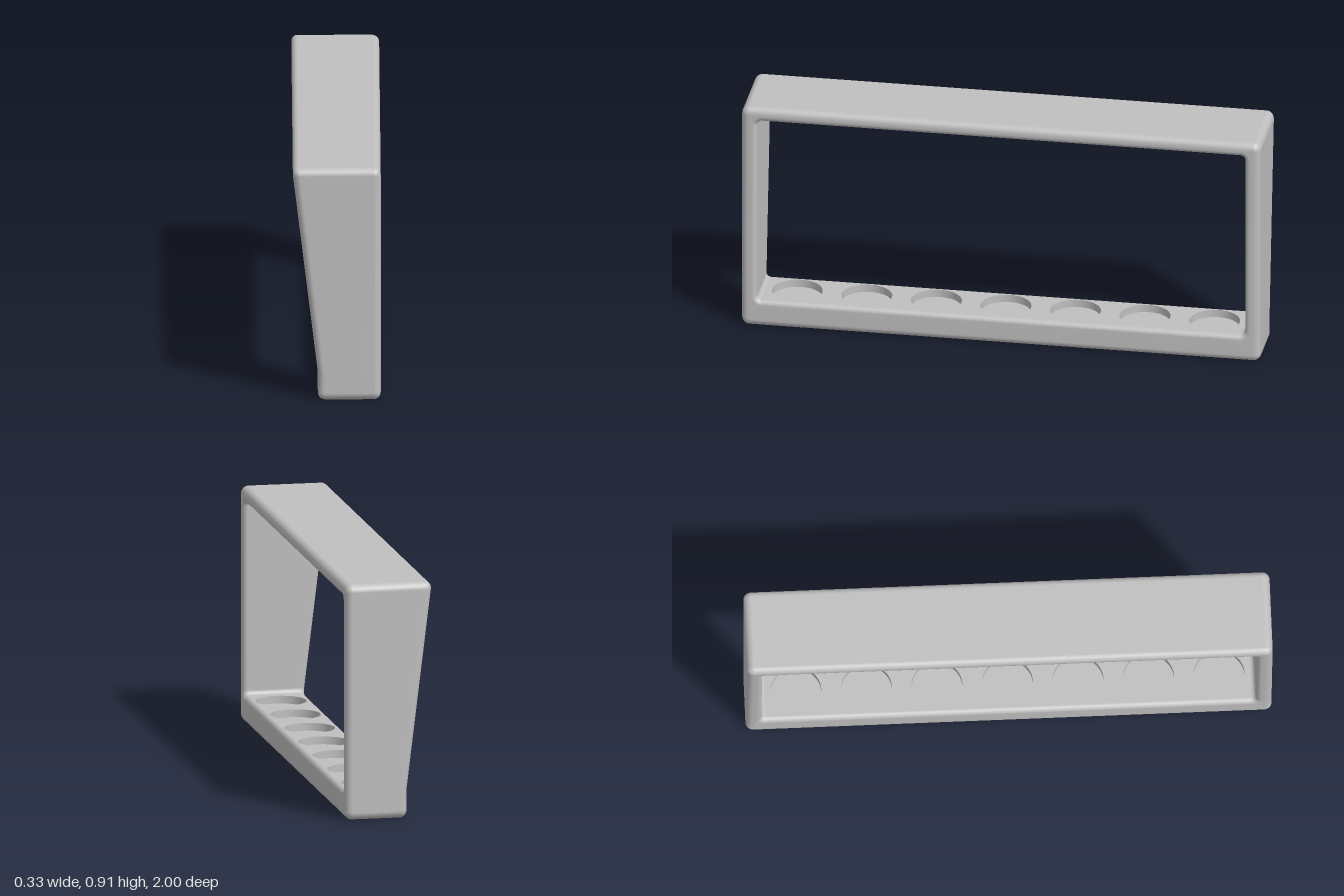
import * as THREE from 'three';

const RIGHT = 0.167, TOP = 0.911;          // straight side and full height
const FLOOR = 0.107;                       // top of the bottom bar
const OUT_R = 0.027, IN_R = 0.02;          // outer and inner edge rounding
const CORNER = 0.018;                      // corner radius of the opening
const STEPS = 6, N = STEPS + 1;
const LEFT_X = -0.072;

// x of the slanted side: upright along the bottom bar, then leaning out
const leftX = (y) => LEFT_X - Math.max(0, y - FLOOR) * 0.1222;

// rounded rectangle in the z-y plane, with one extra point per post at the bend
function rectLoop(halfZ, y0, y1, r) {
  const pts = [];
  const corners = [[1, 1], [-1, 1], [-1, -1], [1, -1]];
  const bendY = Math.max(FLOOR, y0 + r + 0.001);
  corners.forEach(([sz, sy], c) => {
    if (c === 2) pts.push([-halfZ, bendY]);
    for (let k = 0; k <= STEPS; k++) {
      const a = (c + k / STEPS) * Math.PI / 2;
      pts.push([sz * (halfZ - r) + r * Math.cos(a), (sy > 0 ? y1 - r : y0 + r) + r * Math.sin(a)]);
    }
  });
  pts.push([halfZ, bendY]);
  return pts;
}
const outerLoop = (d) => rectLoop(1 - d, d, TOP - d, 0.03 - d);
const innerLoop = (e) => rectLoop(0.94 + e, FLOOR - e, 0.857 + e, CORNER + e);

// rounded frame, swept from the outer wall over the edges into the opening
function frameGeometry() {
  const loops = [];
  const onRight = (pts, depth) => loops.push(pts.map(([z, y]) => [RIGHT - depth, y, z]));
  const onLeft = (pts, depth) => loops.push(pts.map(([z, y]) => [leftX(y) + depth, y, z]));
  const arc = (fn) => {
    for (let k = 0; k <= STEPS; k++) {
      const a = k / STEPS * Math.PI / 2;
      fn(1 - Math.sin(a), 1 - Math.cos(a));
    }
  };
  arc((u, v) => onRight(outerLoop(OUT_R * v), OUT_R * u));
  arc((u, v) => onRight(innerLoop(IN_R * u), IN_R * v));
  const floorRow = loops.length - 1;
  arc((u, v) => onLeft(innerLoop(IN_R * v), IN_R * u));
  arc((u, v) => onLeft(outerLoop(OUT_R * u), OUT_R * v));

  const count = loops[0].length, index = [], open = [];
  loops.forEach((_, i) => {
    for (let j = 0; j < count; j++) {
      const i2 = (i + 1) % loops.length, j2 = (j + 1) % count;
      const a = i * count + j, b = i2 * count + j, c = i2 * count + j2, d = i * count + j2;
      const quad = [a, b, c, a, c, d];
      index.push(...quad);
      // the flat floor of the opening is left out for the pierced plate
      if (!(i === floorRow && j === 3 * N)) open.push(...quad);
    }
  });
  const geo = new THREE.BufferGeometry();
  geo.setAttribute('position', new THREE.Float32BufferAttribute(loops.flat(2), 3));
  geo.setIndex(index);
  geo.computeVertexNormals();
  geo.setIndex(open);
  return geo;
}

export function createModel() {
  const group = new THREE.Group();
  group.name = 'rackFrame';
  const grey = new THREE.MeshStandardMaterial({ color: 0xbfbfbf });
  grey.name = 'grey';
  const add = (name, geo) => {
    const mesh = new THREE.Mesh(geo, grey);
    mesh.name = name;
    group.add(mesh);
    return mesh;
  };

  add('frame', frameGeometry());

  // seven round wells along the bottom bar
  const wellX = (LEFT_X + RIGHT) / 2, wellR = 0.097, depth = 0.03;
  const wells = Array.from({ length: 7 }, (_, i) => (i - 3) * 0.268);

  // pierced top of the bottom bar
  const x0 = LEFT_X + IN_R, x1 = RIGHT - IN_R, z1 = 0.94 - CORNER;
  const plate = new THREE.Shape([[x0, -z1], [x1, -z1], [x1, z1], [x0, z1]].map((p) => new THREE.Vector2(...p)));
  for (const z of wells) plate.holes.push(new THREE.Path().absarc(wellX, -z, wellR, 0, Math.PI * 2, true));
  const plateGeo = new THREE.ShapeGeometry(plate, 24);
  plateGeo.rotateX(-Math.PI / 2);
  add('barTop', plateGeo).position.y = FLOOR;

  // well walls and floors
  const wall = new THREE.LatheGeometry([new THREE.Vector2(wellR, 0), new THREE.Vector2(wellR, -depth)], 48);
  const base = new THREE.CircleGeometry(wellR, 48);
  base.rotateX(-Math.PI / 2);
  for (const z of wells) {
    add('wellWall', wall).position.set(wellX, FLOOR, z);
    add('wellFloor', base).position.set(wellX, FLOOR - depth, z);
  }
  return group;
}
